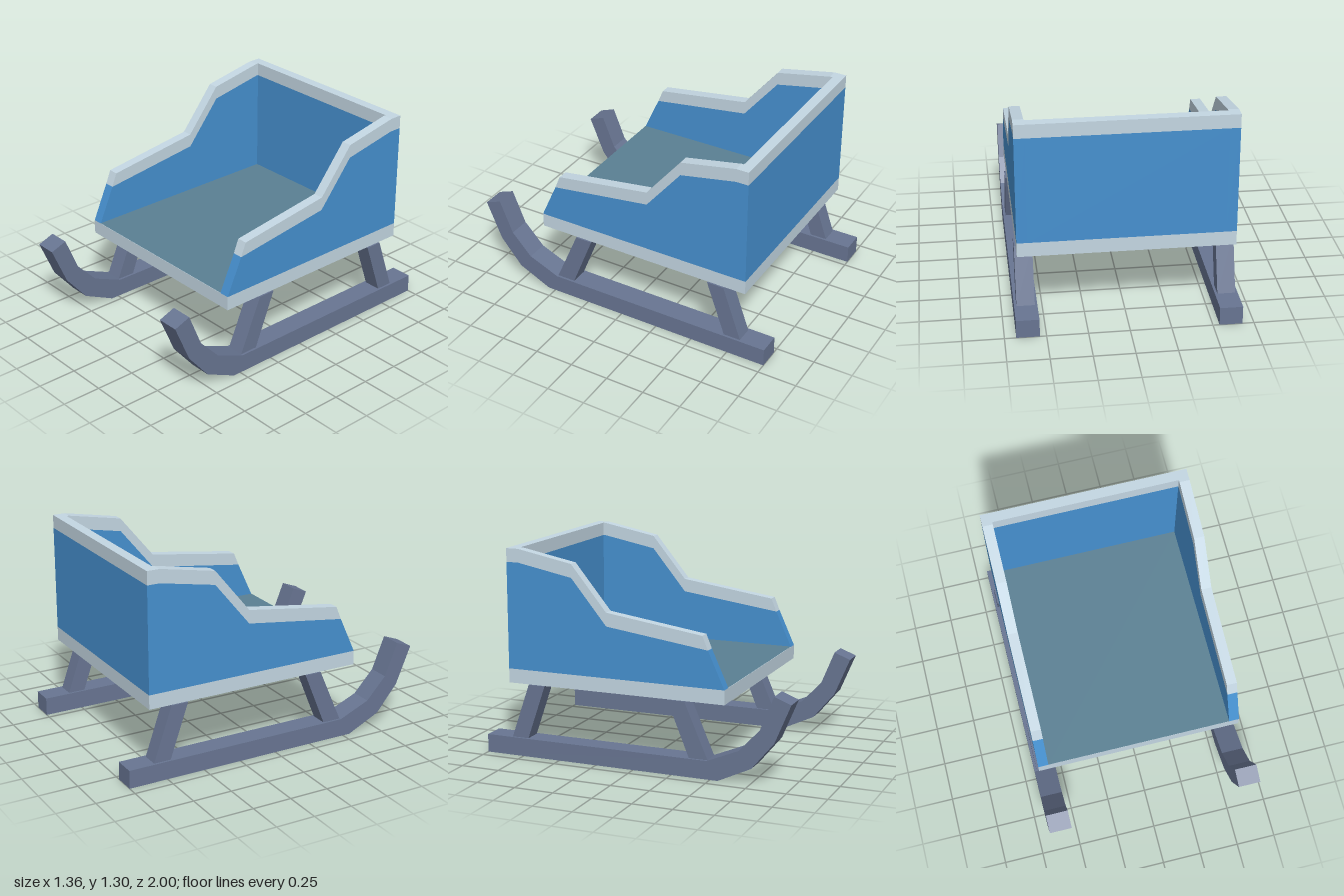
import * as THREE from 'three';

const paint = (color) => new THREE.MeshStandardMaterial({ color, flatShading: true });

export function createModel() {
  const sleigh = new THREE.Group();
  sleigh.name = 'sleigh';
  const blue = paint(0x4690cf), trim = paint(0xc3d6e2), steel = paint(0x687592), teal = paint(0x5a8093);

  const add = (parent, name, geometry, material) => {
    const mesh = new THREE.Mesh(geometry, material);
    mesh.name = name;
    parent.add(mesh);
    return mesh;
  };

  // Box given by its lower and upper corners
  const box = (name, [x0, y0, z0], [x1, y1, z1], material) =>
    add(sleigh, name, new THREE.BoxGeometry(x1 - x0, y1 - y0, z1 - z0), material)
      .position.set((x0 + x1) / 2, (y0 + y1) / 2, (z0 + z1) / 2);

  // Side profile of [z, y] points, extruded from x0 to x1
  const slab = (parent, name, points, x0, x1, material) => {
    const shape = new THREE.Shape(points.map(([z, y]) => new THREE.Vector2(z, y)));
    const geometry = new THREE.ExtrudeGeometry(shape, { depth: x1 - x0, bevelEnabled: false });
    geometry.rotateY(-Math.PI / 2).translate(x1, 0, 0);
    add(parent, name, geometry, material);
  };

  const runner = [[-1, 0], [0.55, 0], [0.76, 0.1], [0.9, 0.27], [1, 0.51], [0.895, 0.55],
    [0.81, 0.34], [0.68, 0.2], [0.48, 0.115], [-1, 0.115]];
  const frontStrut = [[0.36, 0.115], [0.48, 0.115], [0.33, 0.46], [0.22, 0.46]];
  const rearStrut = [[-0.83, 0.115], [-0.72, 0.115], [-0.6, 0.46], [-0.71, 0.46]];

  // Stepped line between side panel and rim, and the rim's upper edge
  const panelTop = [[0.475, 0.78], [-0.18, 0.87], [-0.41, 1.15], [-0.77, 1.22], [-0.85, 1.22]];
  const rimTop = [[0.44, 0.865], [-0.18, 0.955], [-0.41, 1.235], [-0.77, 1.305], [-0.85, 1.305]];
  const panel = [[-0.85, 0.55], [0.58, 0.55], ...panelTop];
  const rim = [...panelTop].reverse().concat(rimTop);

  // Both sides: runner, struts, panel and rim
  for (const [side, s] of [['left', 1], ['right', -1]]) {
    const group = new THREE.Group();
    group.name = side + 'Side';
    sleigh.add(group);
    const part = (name, points, inner, outer, material) =>
      slab(group, side + name, points, Math.min(s * inner, s * outer), Math.max(s * inner, s * outer), material);
    part('Runner', runner, 0.54, 0.68, steel);
    part('FrontStrut', frontStrut, 0.555, 0.665, steel);
    part('RearStrut', rearStrut, 0.555, 0.665, steel);
    part('Panel', panel, 0.59, 0.655, blue);
    part('Rim', rim, 0.59, 0.655, trim);
  }

  // Floor with its painted upper surface
  box('floorFrame', [-0.655, 0.46, -0.85], [0.655, 0.55, 0.58], trim);
  const floor = new THREE.PlaneGeometry(1.18, 1.365).rotateX(-Math.PI / 2);
  add(sleigh, 'floorTop', floor, teal).position.set(0, 0.552, -0.1025);

  // Back wall between the sides
  box('backPanel', [-0.59, 0.55, -0.85], [0.59, 1.22, -0.785], blue);
  box('backRim', [-0.59, 1.22, -0.85], [0.59, 1.305, -0.785], trim);

  return sleigh;
}
